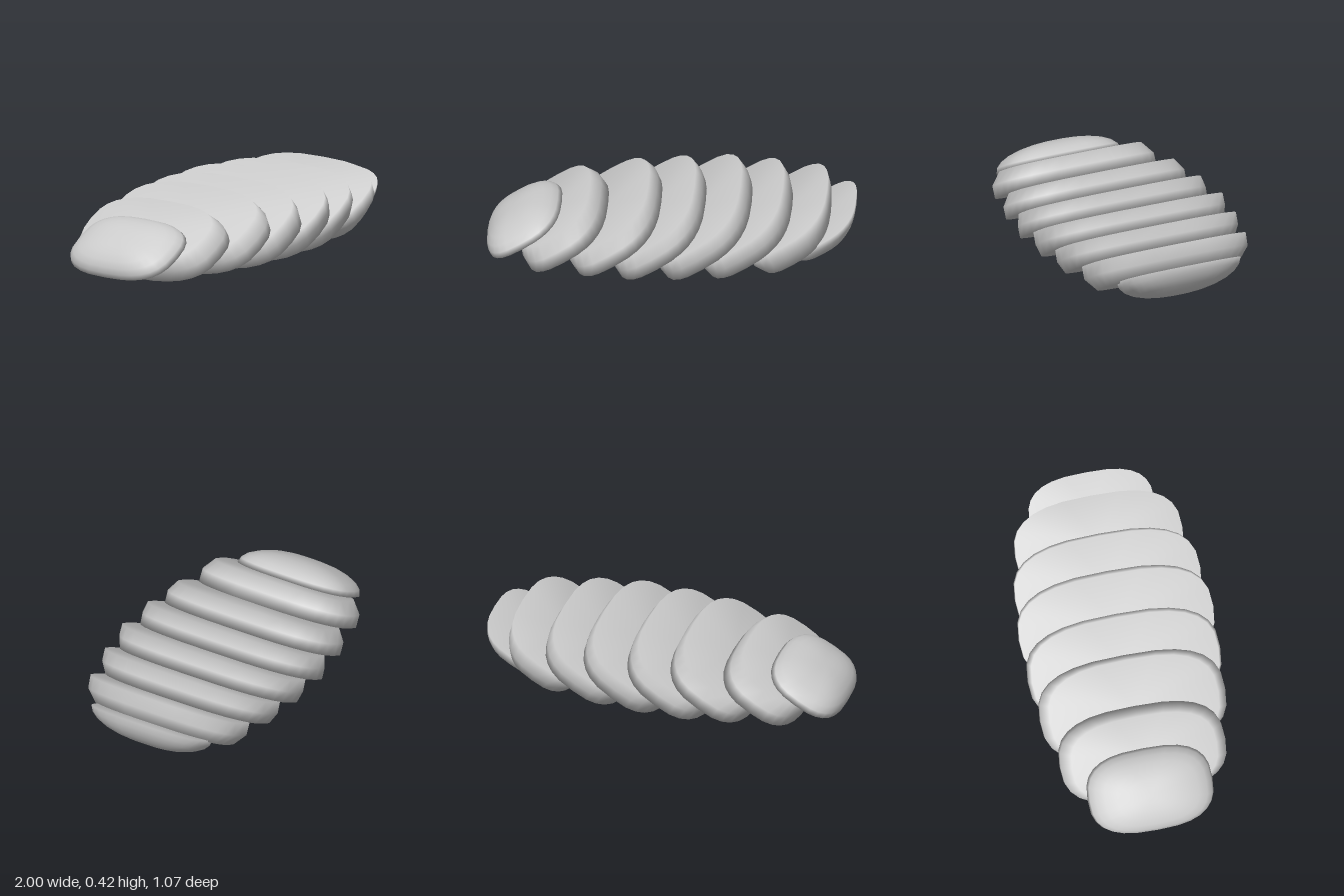
import * as THREE from 'three';
import { mergeVertices } from 'three/addons/utils/BufferGeometryUtils.js';

const SEG = 28;
const POWER = 2 / 2.8;

// rounded-box outline laid across a slanted line from a to b, half depth z
function ring(a, b, z, scale = 1, shift = [0, 0]) {
  const points = [];
  const soft = (v) => Math.sign(v) * Math.pow(Math.abs(v), POWER);
  for (let i = 0; i < SEG; i++) {
    const t = (i / SEG) * Math.PI * 2;
    const c = soft(Math.cos(t)) * scale / 2;
    points.push(new THREE.Vector3(
      (a[0] + b[0]) / 2 + (b[0] - a[0]) * c + shift[0],
      (a[1] + b[1]) / 2 + (b[1] - a[1]) * c + shift[1],
      soft(Math.sin(t)) * z * scale));
  }
  return points;
}

// closed smooth loft through rings listed from bottom to top
function loft(name, rings) {
  const pos = [];
  const tri = (...pts) => pts.forEach((p) => pos.push(p.x, p.y, p.z));
  const middle = (r) => r.reduce((s, p) => s.add(p), new THREE.Vector3()).divideScalar(SEG);
  const bottom = rings[0], top = rings[rings.length - 1];
  const low = middle(bottom), high = middle(top);
  for (let i = 0; i < SEG; i++) {
    const j = (i + 1) % SEG;
    for (let k = 0; k < rings.length - 1; k++) {
      const r = rings[k], s = rings[k + 1];
      tri(r[i], s[i], r[j]);
      tri(r[j], s[i], s[j]);
    }
    tri(low, bottom[i], bottom[j]);
    tri(high, top[j], top[i]);
  }
  let geo = new THREE.BufferGeometry();
  geo.setAttribute('position', new THREE.Float32BufferAttribute(pos, 3));
  geo = mergeVertices(geo, 1e-5);
  geo.computeVertexNormals();
  const mesh = new THREE.Mesh(geo, new THREE.MeshStandardMaterial({ color: 0xcccccc }));
  mesh.name = name;
  return mesh;
}

// rounded end piece: flat cut face with a leaning dome; apex is the offset of its crown
function endPiece(name, a, b, z, apex) {
  const rings = [0, 15, 30, 45, 60, 72, 82].map((deg) => {
    const t = THREE.MathUtils.degToRad(deg);
    const h = Math.sin(t);
    return ring(a, b, z, Math.pow(Math.cos(t), 0.85), [apex[0] * h, apex[1] * h]);
  });
  return loft(name, apex[1] > 0 ? rings : rings.reverse());
}

export function createModel() {
  const group = new THREE.Group();
  group.name = 'slicedLoaf';

  // upper end
  group.add(endPiece('rightEndPiece', [-0.99, 0.042], [-0.6, 0.28], 0.345, [-0.074, 0.094]));

  // middle slices: bottom left, bottom right, top left, top right, bottom and top half depth
  const slices = [
    [[-0.78, 0.008], [-0.35, 0.273], [-0.83, 0.14], [-0.45, 0.375], 0.455, 0.4],
    [[-0.52, 0.008], [-0.06, 0.298], [-0.58, 0.132], [-0.13, 0.408], 0.51, 0.465],
    [[-0.29, 0.002], [0.18, 0.298], [-0.34, 0.122], [0.12, 0.412], 0.53, 0.515],
    [[-0.04, 0], [0.43, 0.303], [-0.1, 0.123], [0.37, 0.418], 0.515, 0.535],
    [[0.2, 0.002], [0.65, 0.285], [0.14, 0.118], [0.6, 0.412], 0.475, 0.51],
    [[0.49, 0.018], [0.86, 0.25], [0.39, 0.123], [0.84, 0.404], 0.4, 0.46],
  ];
  slices.forEach(([bl, br, tl, tr, zb, zt], i) => {
    const mix = (p, q) => [(p[0] + q[0]) / 2, (p[1] + q[1]) / 2];
    const belly = ring(mix(bl, tl), mix(br, tr), Math.max(zb, zt) / 1.04, 1.04);
    group.add(loft(`slice${i + 1}`, [ring(bl, br, zb), belly, ring(tl, tr, zt)]));
  });

  // lower end
  group.add(endPiece('leftEndPiece', [0.63, 0.118], [0.998, 0.345], 0.345, [0.022, -0.138]));
  return group;
}
